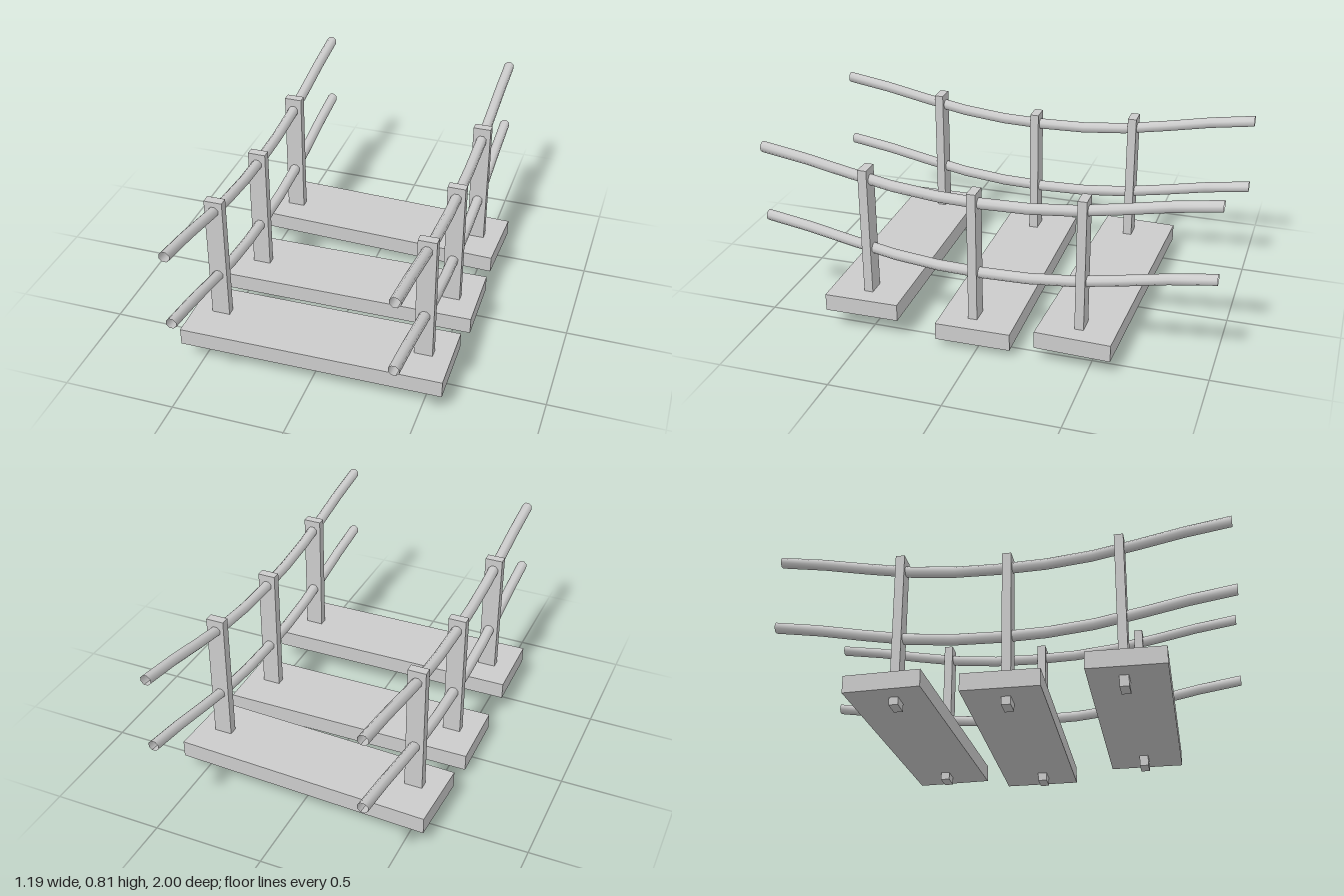
import * as THREE from 'three';

const material = new THREE.MeshStandardMaterial({ color: 0xcccccc });
const openMaterial = new THREE.MeshStandardMaterial({ color: 0xcccccc, side: THREE.DoubleSide });

// Sag of a rope: height above its lowest point at steps of 0.2 from the middle
const SAG = [0, 0.005, 0.025, 0.061, 0.101, 0.132];

// Eight-sided open rope along z, its rings lifted to follow the sag
function createRope(x, lowest) {
  const geometry = new THREE.CylinderGeometry(0.0243, 0.0243, 2, 8, 10, true);
  geometry.rotateY(Math.PI / 8).rotateX(Math.PI / 2);
  const p = geometry.attributes.position;
  for (let i = 0; i < p.count; i++) {
    p.setY(i, p.getY(i) + SAG[Math.round(Math.abs(p.getZ(i)) * 5)]);
  }
  geometry.computeVertexNormals();
  const rope = new THREE.Mesh(geometry, openMaterial);
  rope.position.set(x, lowest, 0);
  return rope;
}

function createBox(name, w, h, d, x, y, z) {
  const mesh = new THREE.Mesh(new THREE.BoxGeometry(w, h, d), material);
  mesh.name = name;
  mesh.position.set(x, y, z);
  return mesh;
}

export function createModel() {
  const model = new THREE.Group();
  model.name = 'ropeBridgeSection';

  const sides = [['left', 0.466], ['right', -0.462]];

  // Each step: a slightly turned plank and two posts through it
  const steps = [
    { name: 'front', plankZ: 0.53, plankY: 0.131, turn: 0.012, postZ: 0.52, postBottom: 0.043 },
    { name: 'middle', plankZ: 0.018, plankY: 0.075, turn: 0.012, postZ: 0.035, postBottom: 0 },
    { name: 'back', plankZ: -0.451, plankY: 0.108, turn: -0.036, postZ: -0.44, postBottom: 0.035 },
  ];
  for (const s of steps) {
    const plank = createBox(s.name + 'Plank', 1.175, 0.077, 0.335, 0, s.plankY, s.plankZ);
    plank.rotation.y = s.turn;
    model.add(plank);
    for (const [side, x] of sides) {
      model.add(createBox(`${s.name}${side}Post`, 0.081, 0.71, 0.04, x, s.postBottom + 0.355, s.postZ));
    }
  }

  // Upper and lower hand ropes on both sides
  for (const [side, x] of sides) {
    for (const [level, y] of [['upper', 0.656], ['lower', 0.328]]) {
      const rope = createRope(x, y);
      rope.name = `${level}${side}Rope`;
      model.add(rope);
    }
  }
  return model;
}
